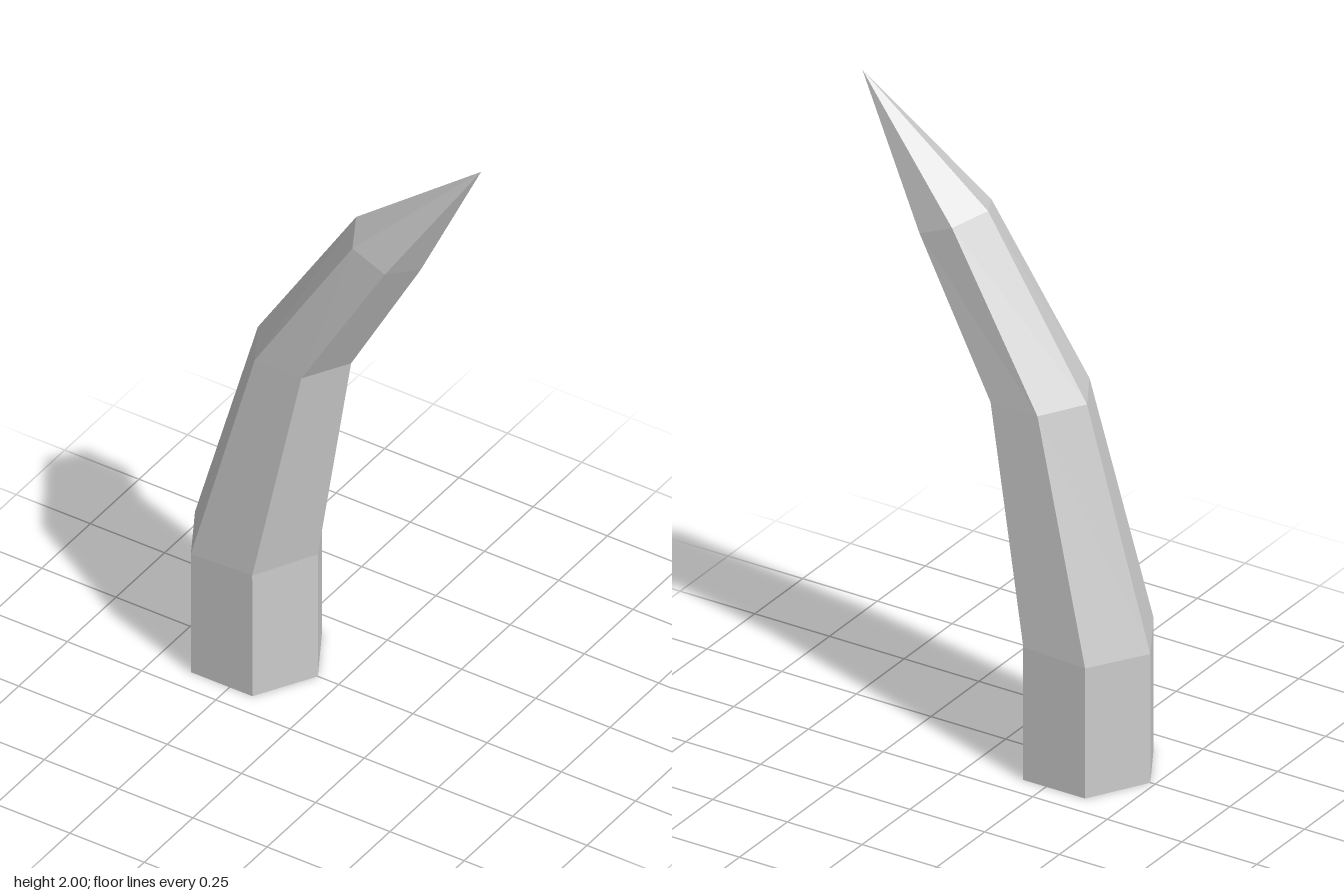
import * as THREE from 'three';

// Hexagonal cross-sections along the bent spine: centre x, centre y, radius, tilt
const RINGS = [
  [-0.277, 0, 0.207, 0],
  [-0.277, 0.42, 0.207, 0.045],
  [-0.115, 1.147, 0.157, 0],
  [0.168, 1.621, 0.119, -0.415],
];
const TIP = new THREE.Vector3(0.48, 2, 0);
const SIDES = 6;

// Corner j of a ring, tilted in the x-y plane
function corner([cx, cy, r, tilt], j) {
  const a = (j / SIDES) * Math.PI * 2;
  const d = r * Math.cos(a);
  return new THREE.Vector3(cx + d * Math.cos(tilt), cy + d * Math.sin(tilt), r * Math.sin(a));
}

function hornGeometry() {
  const pos = [];
  const tri = (...pts) => pts.forEach((p) => pos.push(p.x, p.y, p.z));
  const base = new THREE.Vector3(RINGS[0][0], RINGS[0][1], 0);
  const last = RINGS[RINGS.length - 1];
  for (let j = 0; j < SIDES; j++) {
    // Base cap
    tri(base, corner(RINGS[0], j), corner(RINGS[0], j + 1));
    // Side walls between neighbouring rings
    for (let i = 0; i < RINGS.length - 1; i++) {
      const a = corner(RINGS[i], j), b = corner(RINGS[i + 1], j);
      const c = corner(RINGS[i + 1], j + 1), d = corner(RINGS[i], j + 1);
      tri(a, b, c);
      tri(a, c, d);
    }
    // Pointed end
    tri(corner(last, j), TIP, corner(last, j + 1));
  }
  const geo = new THREE.BufferGeometry();
  geo.setAttribute('position', new THREE.Float32BufferAttribute(pos, 3));
  geo.computeVertexNormals();
  return geo;
}

export function createModel() {
  const group = new THREE.Group();
  group.name = 'curvedHorn';
  const horn = new THREE.Mesh(
    hornGeometry(),
    new THREE.MeshStandardMaterial({ color: 0xcccccc, flatShading: true })
  );
  horn.name = 'horn';
  group.add(horn);
  return group;
}
